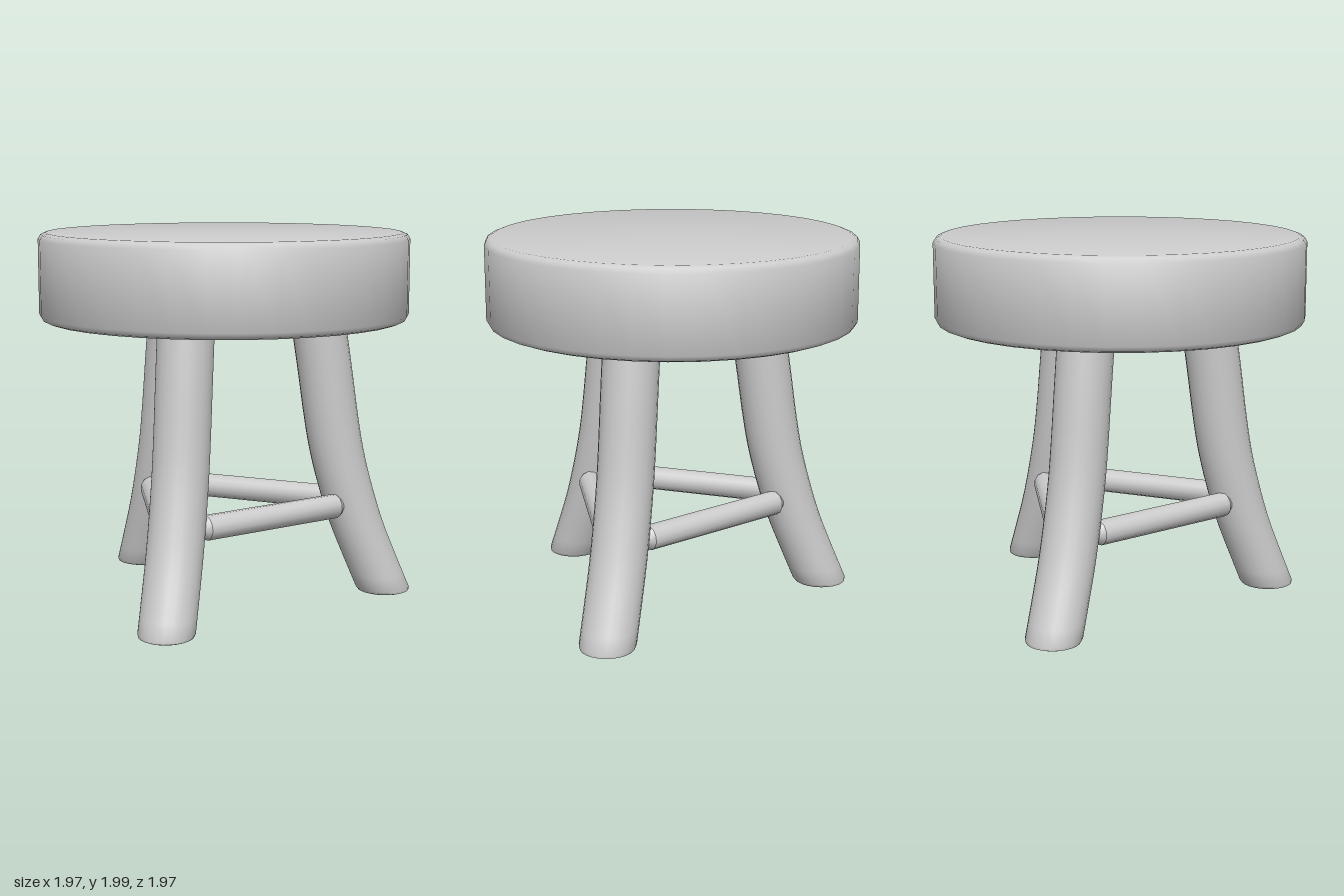
import * as THREE from 'three';
import { mergeVertices, toCreasedNormals } from 'three/addons/utils/BufferGeometryUtils.js';

const material = new THREE.MeshStandardMaterial({ color: 0xcccccc });
const LEG_RADIUS = 0.148;
const BAR_RADIUS = 0.066;
const BAR_HEIGHT = 0.52;

// Each leg: [x, z] where it meets the seat and [x, z] at the floor
const legs = [
  { name: 'frontLeftLeg', top: [0.465, 0.195], foot: [0.84, 0.315] },
  { name: 'frontRightLeg', top: [-0.36, 0.31], foot: [-0.605, 0.6] },
  { name: 'backLeg', top: [-0.093, -0.452], foot: [-0.147, -0.84] },
];

// Outward splay by height: 0 under the seat, 1 at the floor
const splay = new THREE.SplineCurve([
  [0, 1], [0.2, 0.785], [0.4, 0.58], [0.6, 0.42], [0.8, 0.29],
  [1.0, 0.2], [1.25, 0.11], [1.54, 0], [1.6, -0.02],
].map(([y, s]) => new THREE.Vector2(y, s)));

function splayAt(y) {
  let lo = 0, hi = 1;
  for (let i = 0; i < 24; i++) {
    const mid = (lo + hi) / 2;
    if (splay.getPoint(mid).x < y) lo = mid; else hi = mid;
  }
  return splay.getPoint(lo).y;
}

function legCentre(leg, y) {
  const s = splayAt(y);
  return leg.top.map((v, i) => v + (leg.foot[i] - v) * s);
}

function lathe(points, sides) {
  return new THREE.LatheGeometry(points.map(([r, y]) => new THREE.Vector2(r, y)), sides);
}

// Weld seams, then smooth everything except sharp edges
function smooth(geometry, crease) {
  geometry.deleteAttribute('normal');
  geometry.deleteAttribute('uv');
  return toCreasedNormals(mergeVertices(geometry, 1e-4), crease);
}

function addMesh(group, name, geometry) {
  const mesh = new THREE.Mesh(geometry, material);
  mesh.name = name;
  group.add(mesh);
  return mesh;
}

// Round post whose horizontal slices slide outward toward the floor
function legGeometry(leg) {
  const profile = [[0, 0.01], [0.125, 0.01], [0.141, 0.016], [LEG_RADIUS, 0.032]];
  for (let i = 1; i <= 20; i++) profile.push([LEG_RADIUS, 0.032 + (1.568 * i) / 20]);
  profile.push([0, 1.6]);
  const geometry = lathe(profile, 24);
  const pos = geometry.attributes.position;
  for (let i = 0; i < pos.count; i++) {
    const [cx, cz] = legCentre(leg, pos.getY(i));
    pos.setX(i, pos.getX(i) + cx);
    pos.setZ(i, pos.getZ(i) + cz);
  }
  return smooth(geometry, 0.8);
}

// Stretcher with chamfered ends, set slightly outside the leg centre lines
function addBar(group, name, legA, legB) {
  const [ax, az] = legCentre(legA, BAR_HEIGHT);
  const [bx, bz] = legCentre(legB, BAR_HEIGHT);
  const a = new THREE.Vector3(ax, BAR_HEIGHT, az);
  const b = new THREE.Vector3(bx, BAR_HEIGHT, bz);
  const dir = b.clone().sub(a).normalize();
  const middle = a.clone().add(b).multiplyScalar(0.5);
  const outward = new THREE.Vector3(-dir.z, 0, dir.x);
  if (outward.dot(middle) < 0) outward.negate();

  const half = a.distanceTo(b) / 2 - 0.11;
  const r = BAR_RADIUS;
  const geometry = lathe([
    [0, -half], [r * 0.6, -half], [r, -half + 0.035],
    [r, half - 0.035], [r * 0.6, half], [0, half],
  ], 12);
  const bar = addMesh(group, name, smooth(geometry, 0.6));
  bar.position.copy(middle).addScaledVector(outward, 0.05);
  bar.quaternion.setFromUnitVectors(new THREE.Vector3(0, 1, 0), dir);
}

export function createModel() {
  const group = new THREE.Group();
  group.name = 'stool';

  // Thick round seat with softened rims
  const R = 0.985, low = 1.535, high = 2;
  const seat = lathe([
    [0, low], [R - 0.04, low], [R - 0.014, low + 0.01], [R, low + 0.035],
    [R, high - 0.035], [R - 0.014, high - 0.01], [R - 0.04, high], [0, high],
  ], 36);
  addMesh(group, 'seat', smooth(seat, 0.9));

  // Three splayed legs
  for (const leg of legs) addMesh(group, leg.name, legGeometry(leg));

  // Stretchers joining neighbouring legs
  ['frontBar', 'rightBar', 'leftBar'].forEach((name, i) => {
    addBar(group, name, legs[i], legs[(i + 1) % 3]);
  });

  return group;
}
